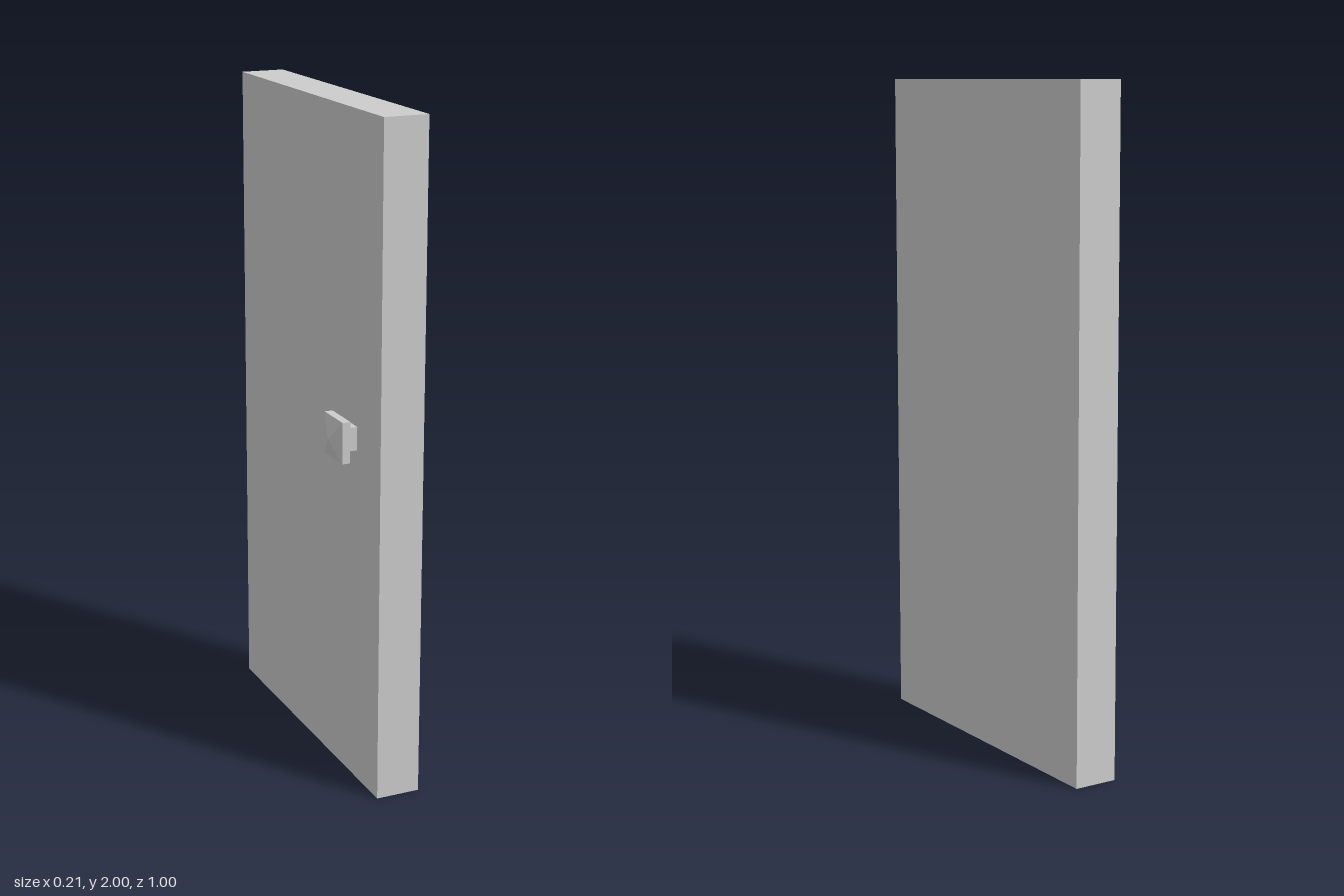
import * as THREE from 'three';

const material = new THREE.MeshStandardMaterial({ color: 0xcccccc, flatShading: true });

function addMesh(parent, name, geometry, x, y, z) {
  const mesh = new THREE.Mesh(geometry, material);
  mesh.name = name;
  mesh.position.set(x, y, z);
  parent.add(mesh);
  return mesh;
}

export function createModel() {
  const door = new THREE.Group();
  door.name = 'door';

  // Door slab
  const thickness = 0.134;
  const faceX = -0.029;
  addMesh(door, 'doorPanel', new THREE.BoxGeometry(thickness, 2, 1), faceX + thickness / 2, 1, 0);

  // Square knob, built along local +y and turned to point out of the -x face
  const stemLength = 0.034, plateDepth = 0.024, tipHeight = 0.018;
  const stemSide = 0.07, plateSide = 0.123;
  const knob = new THREE.Group();
  knob.name = 'knob';
  knob.position.set(faceX, 1.065, 0.311);
  knob.rotation.z = Math.PI / 2;
  door.add(knob);

  addMesh(knob, 'knobStem', new THREE.BoxGeometry(stemSide, stemLength, stemSide), 0, stemLength / 2, 0);
  addMesh(knob, 'knobPlate', new THREE.BoxGeometry(plateSide, plateDepth, plateSide), 0, stemLength + plateDepth / 2, 0);

  // Shallow pyramid cap
  const tip = new THREE.ConeGeometry(plateSide / Math.SQRT2, tipHeight, 4, 1, true, Math.PI / 4);
  addMesh(knob, 'knobTip', tip, 0, stemLength + plateDepth + tipHeight / 2, 0);

  return door;
}
